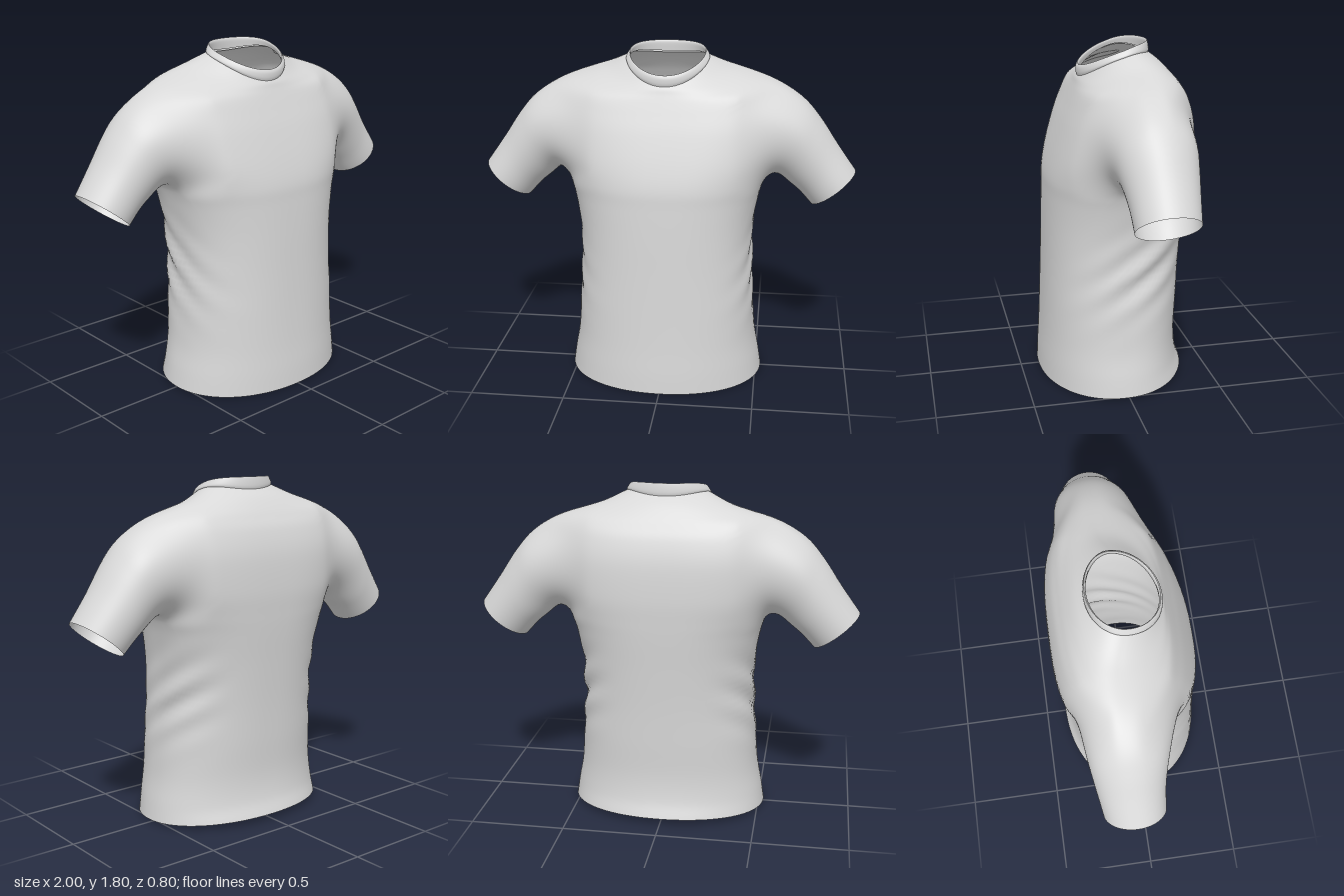
import * as THREE from 'three';

const N = 96;            // points around the torso
const SUB = 6;           // rows between two control rings
const ARM = 9;           // armhole half-width in columns
const PIT = 7 * SUB, TOP = 11 * SUB; // armhole bottom and top rows

// Control rings: half width, zFront, zSide, zBack, yFront, ySide, yBack, roundness, armhole angle
const BODY = [
  [0.53, 0.40, 0.00, -0.385, 0.005, 0.015, 0.04, 0.95, 34],
  [0.515, 0.395, 0.00, -0.355, 0.11, 0.11, 0.13, 0.93, 34],
  [0.49, 0.385, 0.00, -0.342, 0.25, 0.25, 0.26, 0.89, 34],
  [0.475, 0.375, 0.00, -0.35, 0.45, 0.45, 0.45, 0.86, 34],
  [0.462, 0.367, 0.00, -0.36, 0.65, 0.65, 0.65, 0.85, 32],
  [0.465, 0.36, -0.01, -0.375, 0.85, 0.85, 0.85, 0.83, 28],
  [0.492, 0.352, -0.03, -0.39, 1.02, 1.02, 1.02, 0.80, 21],
  [0.525, 0.345, -0.05, -0.397, 1.12, 1.13, 1.12, 0.77, 14],
  [0.56, 0.315, -0.06, -0.402, 1.24, 1.25, 1.25, 0.72, 33],
  [0.58, 0.265, -0.07, -0.392, 1.39, 1.41, 1.42, 0.70, 40],
  [0.585, 0.225, -0.08, -0.362, 1.49, 1.53, 1.54, 0.74, 34],
  [0.575, 0.20, -0.09, -0.325, 1.55, 1.615, 1.61, 0.82, 14],
  [0.46, 0.185, -0.09, -0.29, 1.585, 1.652, 1.66, 0.9, 22],
  [0.33, 0.175, -0.08, -0.25, 1.61, 1.69, 1.705, 0.95, 29],
  [0.215, 0.165, -0.04, -0.205, 1.625, 1.74, 1.74, 1, 34],
];
const COLLAR = [
  [0.214, 0.165, -0.04, -0.203, 1.62, 1.735, 1.735, 1, 34],
  [0.218, 0.170, -0.04, -0.206, 1.64, 1.745, 1.755, 1, 34],
  [0.209, 0.169, -0.04, -0.203, 1.665, 1.76, 1.785, 1, 34],
  [0.199, 0.160, -0.04, -0.198, 1.68, 1.772, 1.803, 1, 34],
  [0.195, 0.152, -0.04, -0.190, 1.668, 1.762, 1.79, 1, 34],
  [0.201, 0.154, -0.04, -0.192, 1.63, 1.74, 1.745, 1, 34],
];
// Sleeve rings: top x, top y, bottom x, bottom y, front z, back z
const SLEEVE = [
  [0.695, 1.55, 0.575, 1.135, 0.135, -0.308],
  [0.805, 1.425, 0.645, 1.08, 0.10, -0.28],
  [0.90, 1.285, 0.705, 1.03, 0.08, -0.262],
  [1.0, 1.145, 0.77, 0.96, 0.073, -0.245],
];

// Smooth interpolation through rows of numbers
function blend(rows, t) {
  const n = rows.length - 1, i = Math.min(Math.floor(t), n - 1), f = t - i;
  const at = (k, c) => k < 0 ? 2 * rows[0][c] - rows[1][c]
    : k > n ? 2 * rows[n][c] - rows[n - 1][c] : rows[k][c];
  return rows[0].map((_, c) => {
    const a = at(i - 1, c), b = at(i, c), d = at(i + 1, c), e = at(i + 2, c);
    return b + 0.5 * f * (d - a + f * (2 * a - 5 * b + 4 * d - e + f * (3 * (b - d) + e - a)));
  });
}

// One point on a ring; columns near the sides are drawn towards the armhole angle
function ringPoint([w, zF, zS, zB, yF, yS, yB, e, arm], j) {
  const t = (j / N) * Math.PI * 2, c = Math.cos(t), s = Math.sin(t);
  const half = Math.PI / 2, q = Math.asin(Math.min(1, Math.abs(s)));
  const q0 = (ARM / N) * Math.PI * 2, a = THREE.MathUtils.degToRad(arm);
  const k = q < q0 ? (q / q0) * a : a + ((q - q0) / (half - q0)) * (half - a);
  const sn = Math.sin(k) * Math.sign(s);
  const x = Math.sign(c) * w * Math.pow(Math.max(0, Math.cos(k)), e);
  const z = zS + ((s > 0 ? zF : zB) - zS) * Math.pow(Math.abs(sn), e);
  const y = yS + ((yF - yB) / 2) * sn + ((yF + yB) / 2 - yS) * sn * sn;
  return [x, y, z];
}

// Slanted cloth folds on the flanks
function fold([x, y, z]) {
  const along = -0.83 * (z + 0.1) + 0.55 * (y - 0.68), across = 0.55 * (z + 0.1) + 0.83 * (y - 0.68);
  const side = THREE.MathUtils.smoothstep(Math.abs(x), 0.2, 0.42);
  const d = 0.011 * side * Math.exp(-((along / 0.26) ** 2) - (across / 0.17) ** 2) * Math.sin(across * 42);
  return [x + Math.sign(x) * d, y, z + Math.sign(z) * d * 0.5];
}

// Quads between rows of vertex numbers, closed around
function skin(rows, skip = () => false) {
  const index = [];
  for (let i = 0; i < rows.length - 1; i++) {
    const n = rows[i].length;
    for (let j = 0; j < n; j++) {
      if (skip(i, j)) continue;
      const a = rows[i][j], b = rows[i + 1][j], c = rows[i][(j + 1) % n], d = rows[i + 1][(j + 1) % n];
      index.push(a, b, c, c, b, d);
    }
  }
  return index;
}

function loft(control, points, shape = (p) => p) {
  const rows = [];
  for (let i = 0; i <= (control.length - 1) * SUB; i++) {
    const ring = blend(control, i / SUB), row = [];
    for (let j = 0; j < N; j++) row.push(points.push(shape(ringPoint(ring, j))) - 1);
    rows.push(row);
  }
  return rows;
}

// Sleeve grown from the armhole edge to the cuff
function growSleeve(points, body, centre, side) {
  const loop = [], col = (j) => (centre + j + N) % N;
  for (let j = ARM; j > -ARM; j--) loop.push(body[TOP][col(j)]);
  for (let i = TOP; i > PIT; i--) loop.push(body[i][col(-ARM)]);
  for (let j = -ARM; j < ARM; j++) loop.push(body[PIT][col(j)]);
  for (let i = PIT; i < TOP; i++) loop.push(body[i][col(ARM)]);
  const rows = [loop];
  for (let r = 1; r <= SLEEVE.length * SUB; r++) rows.push([]);
  for (const v of loop) {
    const p = points[v];
    const t = Math.atan2((p[2] + 0.08) / 0.23, (p[1] - 1.37) / 0.24);
    const path = [p, ...SLEEVE.map(([tx, ty, bx, by, zF, zB]) => {
      const u = Math.cos(t) / 2;
      return [side * ((tx + bx) / 2 + (tx - bx) * u), (ty + by) / 2 + (ty - by) * u,
        (zF + zB) / 2 + ((zF - zB) / 2) * Math.sin(t)];
    })];
    for (let r = 1; r < rows.length; r++) rows[r].push(points.push(blend(path, r / SUB)) - 1);
  }
  return skin(rows);
}

// Eases the cloth around the armhole seams by averaging neighbours
function relaxShoulders(points, index, passes) {
  const near = points.map(() => new Set());
  for (let i = 0; i < index.length; i += 3) {
    for (let k = 0; k < 3; k++) {
      near[index[i + k]].add(index[i + (k + 1) % 3]).add(index[i + (k + 2) % 3]);
    }
  }
  const { smoothstep } = THREE.MathUtils;
  const weight = points.map(([x, y]) => 0.6 * smoothstep(Math.abs(x), 0.36, 0.48)
    * (1 - smoothstep(Math.abs(x), 0.64, 0.78)) * smoothstep(y, 1.06, 1.2));
  for (let n = 0; n < passes; n++) {
    const before = points.map((p) => [...p]);
    points.forEach((p, v) => {
      if (!near[v].size || !weight[v]) return;
      for (let c = 0; c < 3; c++) {
        let sum = 0;
        for (const m of near[v]) sum += before[m][c];
        p[c] += weight[v] * (sum / near[v].size - p[c]);
      }
    });
  }
}

// Meshes sharing one set of points, so normals run smoothly across seams
function buildParts(group, points, parts, material) {
  const whole = new THREE.BufferGeometry();
  whole.setAttribute('position', new THREE.Float32BufferAttribute(points.flat(), 3));
  whole.setIndex(Object.values(parts).flat());
  whole.computeVertexNormals();
  for (const [name, index] of Object.entries(parts)) {
    const g = new THREE.BufferGeometry();
    g.setAttribute('position', whole.attributes.position);
    g.setAttribute('normal', whole.attributes.normal);
    g.setIndex(index);
    const mesh = new THREE.Mesh(g, material);
    mesh.name = name;
    group.add(mesh);
  }
}

export function createModel() {
  const group = new THREE.Group();
  group.name = 'tShirt';
  const cloth = new THREE.MeshStandardMaterial({ color: 0xd8d8d8, side: THREE.DoubleSide });
  cloth.name = 'light grey cloth';

  // Torso with two armholes, and the sleeves
  const points = [];
  const body = loft(BODY, points, fold);
  const inArmhole = (i, j) => i >= PIT && i < TOP && [0, N / 2].some((c) => {
    const d = ((j - c + N + N / 2) % N) - N / 2;
    return d >= -ARM && d < ARM;
  });
  const parts = {
    torso: skin(body, inArmhole),
    leftSleeve: growSleeve(points, body, 0, 1),
    rightSleeve: growSleeve(points, body, N / 2, -1),
  };
  relaxShoulders(points, Object.values(parts).flat(), 24);
  buildParts(group, points, parts, cloth);

  // Ribbed neckband, folded inward at the top
  const neck = [];
  buildParts(group, neck, { collar: skin(loft(COLLAR, neck)) }, cloth);
  return group;
}
